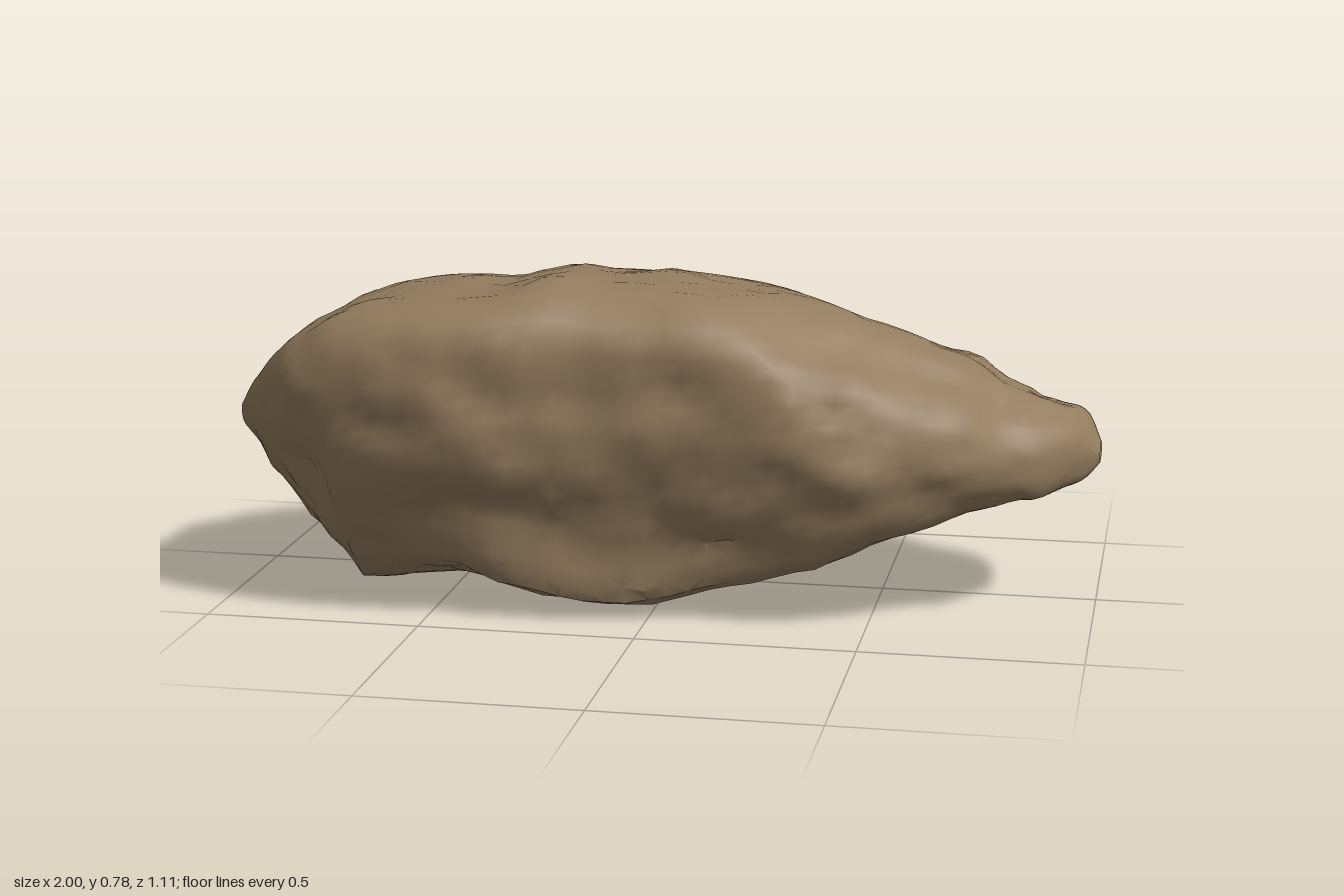
import * as THREE from 'three';
import { toCreasedNormals } from 'three/addons/utils/BufferGeometryUtils.js';

// Stations along the boulder: x, bottom y, top y, back z, front z
const STATIONS = [
  [-1.0, 0.37, 0.44, 0.11, 0.22], [-0.96, 0.32, 0.50, 0.03, 0.27], [-0.925, 0.26, 0.54, -0.04, 0.32],
  [-0.905, 0.23, 0.56, -0.17, 0.34], [-0.79, 0.11, 0.645, -0.28, 0.47], [-0.71, 0.01, 0.69, -0.33, 0.51],
  [-0.6, 0.025, 0.725, -0.38, 0.53], [-0.48, 0.04, 0.745, -0.42, 0.54], [-0.35, 0.05, 0.755, -0.46, 0.53],
  [-0.22, 0.035, 0.785, -0.50, 0.50], [-0.13, 0.005, 0.775, -0.52, 0.475], [0.03, 0.015, 0.765, -0.545, 0.45],
  [0.2, 0.06, 0.745, -0.545, 0.44], [0.3, 0.09, 0.725, -0.52, 0.445], [0.4, 0.12, 0.70, -0.42, 0.44],
  [0.5, 0.17, 0.665, -0.40, 0.425], [0.6, 0.21, 0.625, -0.38, 0.39], [0.71, 0.25, 0.58, -0.355, 0.335],
  [0.78, 0.265, 0.535, -0.32, 0.29], [0.86, 0.28, 0.495, -0.25, 0.235], [0.95, 0.30, 0.465, -0.2, 0.14],
  [0.975, 0.315, 0.44, -0.16, 0.10], [1.0, 0.345, 0.39, -0.05, 0.07],
];

// Cross-sections in their bounding box: u runs back to front, v bottom to top
const BLUNT_END = [
  [0.8, 1], [0.5, 1], [0.3, 0.94], [0.13, 0.8], [0.04, 0.66], [0, 0.5], [0.03, 0.38],
  [0.1, 0.27], [0.17, 0.14], [0.3, 0.05], [0.47, 0], [0.64, 0.03], [0.77, 0.12], [0.85, 0.24],
  [0.93, 0.37], [0.98, 0.52], [1, 0.72], [0.99, 0.9], [0.93, 0.98],
];
const MIDDLE = [
  [0.82, 1], [0.5, 0.97], [0.3, 0.88], [0.13, 0.75], [0.04, 0.63], [0, 0.5], [0.04, 0.38],
  [0.11, 0.26], [0.19, 0.1], [0.3, 0.04], [0.5, 0], [0.7, 0.01], [0.9, 0.045], [0.92, 0.2],
  [0.96, 0.34], [0.99, 0.5], [1, 0.71], [0.99, 0.9], [0.93, 0.97],
];
const NOSE = [
  [0.7, 0.99], [0.52, 0.97], [0.36, 0.88], [0.2, 0.71], [0.08, 0.56], [0, 0.43], [0.02, 0.3],
  [0.07, 0.18], [0.15, 0.07], [0.3, 0.02], [0.5, 0], [0.7, 0], [0.88, 0.05], [0.94, 0.14],
  [0.98, 0.3], [1, 0.46], [0.99, 0.62], [0.94, 0.76], [0.84, 0.88],
];

function stationAt(x) {
  let i = 0;
  while (i < STATIONS.length - 2 && x > STATIONS[i + 1][0]) i++;
  const a = STATIONS[i], b = STATIONS[i + 1];
  const t = THREE.MathUtils.clamp((x - a[0]) / (b[0] - a[0]), 0, 1);
  return a.map((v, k) => v + (b[k] - v) * t);
}

// Smooth loop of points for the section at x, blended between the three shapes
function sectionAt(x, sides) {
  const blunt = 1 - THREE.MathUtils.smoothstep(x, -0.65, -0.2);
  const nose = THREE.MathUtils.smoothstep(x, 0.05, 0.5);
  const blend = (i, k) => MIDDLE[i][k] * (1 - blunt - nose) + BLUNT_END[i][k] * blunt + NOSE[i][k] * nose;
  const points = MIDDLE.map((_, i) => new THREE.Vector3(blend(i, 0), blend(i, 1), 0));
  return new THREE.CatmullRomCurve3(points, true).getSpacedPoints(sides).slice(0, sides);
}

// Seeded value noise in the range -1 to 1
function hash(x, y, z) {
  let h = (Math.imul(x, 374761393) + Math.imul(y, 668265263) + Math.imul(z, 1274126177)) | 0;
  h = Math.imul(h ^ (h >>> 13), 1103515245);
  return (((h ^ (h >>> 16)) >>> 0) / 4294967295) * 2 - 1;
}

function noise(x, y, z) {
  const c = [x, y, z].map(Math.floor);
  const f = [x - c[0], y - c[1], z - c[2]].map((t) => t * t * (3 - 2 * t));
  let sum = 0;
  for (let k = 0; k < 8; k++) {
    const d = [k & 1, (k >> 1) & 1, k >> 2];
    const w = d.reduce((p, on, n) => p * (on ? f[n] : 1 - f[n]), 1);
    sum += w * hash(c[0] + d[0], c[1] + d[1], c[2] + d[2]);
  }
  return sum;
}

const bump = (v, centre, width) => Math.exp(-(((v - centre) / width) ** 2));

// How far the surface moves in or out at a point
function relief(x, y, z) {
  let d = 0.016 * noise(x * 9, y * 11 + 3, z * 9) + 0.01 * noise(x * 17, y * 21, z * 17 + 2);
  // Undercut above the rear ledge
  if (z < 0) d -= 0.06 * bump(y, 0.2, 0.05) * bump(x, -0.45, 0.35);
  // Hollows under the front shelf and near its end
  if (z > 0) d -= 0.04 * bump(y, 0.26, 0.06) * bump(x, -0.35, 0.25) + 0.05 * bump(y, 0.34, 0.1) * bump(x, -0.77, 0.06);
  // Scoop in the rear shoulder
  return d - 0.05 * bump(x, 0.3, 0.12) * bump(z, -0.42, 0.1) * bump(y, 0.56, 0.12);
}

function boulderGeometry(rows, sides) {
  const pos = [], index = [];
  for (let i = 0; i <= rows; i++) {
    const x = -Math.cos((Math.PI * i) / rows);
    const [, y0, y1, z0, z1] = stationAt(x);
    const fade = Math.min(1, (1 - Math.abs(x)) * 6 + 0.1);
    for (const p of sectionAt(x, sides)) {
      const y = y0 + (y1 - y0) * p.y, z = z0 + (z1 - z0) * p.x;
      const dir = new THREE.Vector2(z - (z0 + z1) / 2, (y - (y0 + y1) / 2) * 1.7).normalize();
      const d = relief(x, y, z) * fade;
      // Top and underside are worn smoother than the flanks
      const dy = d * dir.y * (p.y > 0.9 || p.y < 0.06 ? 0.6 : 1);
      const dx = 0.015 * noise(x * 6, y * 9, z * 7 + 5) * fade;
      pos.push(x + dx, y + dy, z + d * dir.x);
    }
  }
  for (let i = 0; i < rows; i++) {
    for (let j = 0; j < sides; j++) {
      const a = i * sides + j, c = i * sides + ((j + 1) % sides);
      const b = a + sides, e = c + sides;
      if ((i + j) % 2) index.push(a, b, c, b, e, c);
      else index.push(a, b, e, a, e, c);
    }
  }
  // Close both tips
  for (const row of [0, rows]) {
    const [x, y0, y1, z0, z1] = STATIONS[row ? STATIONS.length - 1 : 0];
    const centre = pos.length / 3;
    pos.push(x, (y0 + y1) / 2, (z0 + z1) / 2);
    for (let j = 0; j < sides; j++) {
      const a = row * sides + j, b = row * sides + ((j + 1) % sides);
      index.push(centre, row ? b : a, row ? a : b);
    }
  }
  const geo = new THREE.BufferGeometry();
  geo.setAttribute('position', new THREE.Float32BufferAttribute(pos, 3));
  geo.setIndex(index);
  // Rest on the ground
  geo.computeBoundingBox();
  geo.translate(0, -geo.boundingBox.min.y, 0);
  return toCreasedNormals(geo, 0.75);
}

export function createModel() {
  const stone = new THREE.MeshStandardMaterial({ color: 0x937c5e });
  stone.name = 'brown stone';
  const group = new THREE.Group();
  group.name = 'rock';
  const boulder = new THREE.Mesh(boulderGeometry(64, 68), stone);
  boulder.name = 'boulder';
  group.add(boulder);
  return group;
}
